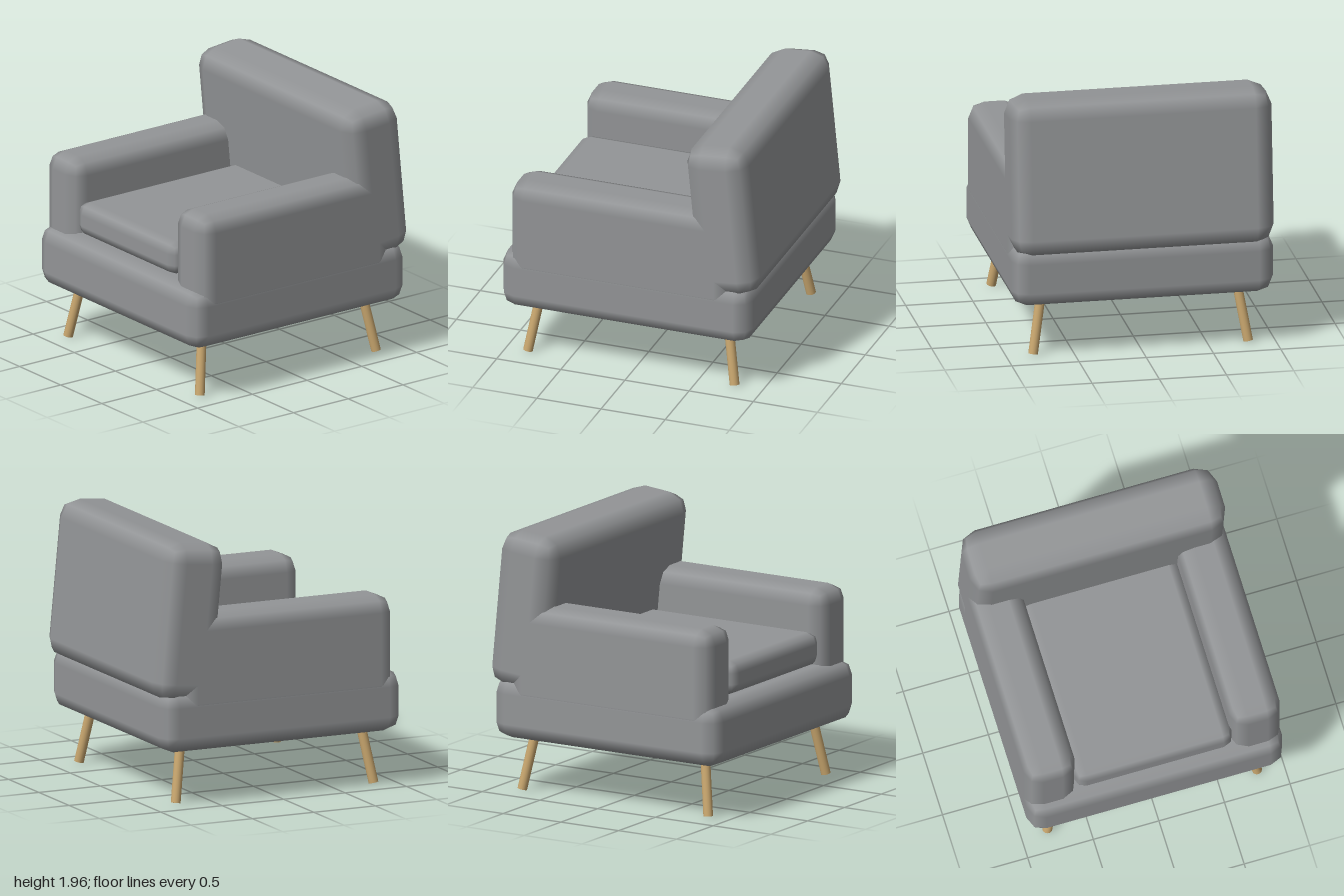
import * as THREE from 'three';

const fabric = new THREE.MeshStandardMaterial({ color: 0x939597 });
fabric.name = 'grey fabric';
const wood = new THREE.MeshStandardMaterial({ color: 0xc8a66e });
wood.name = 'light wood';

// Smooth padded box whose edges are rounded in two steps
function paddedBox(w, h, d, r) {
  const geo = new THREE.BoxGeometry(1, 1, 1, 3, 3, 3);
  const pos = geo.attributes.position;
  const half = new THREE.Vector3(w / 2 - r, h / 2 - r, d / 2 - r);
  const p = new THREE.Vector3();
  const dir = new THREE.Vector3();
  const outer = (v) => (Math.abs(v) > 0.4 ? Math.sign(v) : 0);
  for (let i = 0; i < pos.count; i++) {
    p.fromBufferAttribute(pos, i);
    dir.set(outer(p.x), outer(p.y), outer(p.z)).normalize();
    pos.setXYZ(i,
      Math.sign(p.x) * half.x + dir.x * r,
      Math.sign(p.y) * half.y + dir.y * r,
      Math.sign(p.z) * half.z + dir.z * r);
    geo.attributes.normal.setXYZ(i, dir.x, dir.y, dir.z);
  }
  return geo;
}

export function createModel() {
  const chair = new THREE.Group();
  chair.name = 'armchair';

  // Padded part given by its extents on each axis
  function pad(name, [x0, x1], [y0, y1], [z0, z1], r) {
    const mesh = new THREE.Mesh(paddedBox(x1 - x0, y1 - y0, z1 - z0, r), fabric);
    mesh.position.set((x0 + x1) / 2, (y0 + y1) / 2, (z0 + z1) / 2);
    mesh.name = name;
    chair.add(mesh);
  }

  pad('base', [-0.975, 0.975], [0.405, 0.87], [-0.95, 1], 0.12);
  pad('seatCushion', [-0.605, 0.605], [0.875, 1.13], [-0.62, 0.92], 0.085);
  pad('leftArm', [0.588, 0.975], [0.65, 1.43], [-0.8, 0.93], 0.12);
  pad('rightArm', [-0.975, -0.588], [0.65, 1.43], [-0.8, 0.93], 0.12);

  // Backrest, its top tipped slightly forward
  const back = new THREE.Mesh(paddedBox(1.95, 1.18, 0.485, 0.14), fabric);
  back.position.set(0, 1.367, -0.711);
  back.rotation.x = 0.096;
  back.name = 'backrest';
  chair.add(back);

  // Splayed legs, running up into the base
  for (const sx of [-1, 1]) {
    for (const sz of [-1, 1]) {
      const foot = new THREE.Vector3(sx * 0.8, 0.011, 0.025 + sz * 0.805);
      const top = new THREE.Vector3(sx * 0.725, 0.46, 0.025 + sz * 0.73);
      const axis = top.clone().sub(foot);
      const leg = new THREE.Mesh(new THREE.CylinderGeometry(0.036, 0.036, axis.length(), 16), wood);
      leg.position.copy(foot).add(top).multiplyScalar(0.5);
      leg.quaternion.setFromUnitVectors(new THREE.Vector3(0, 1, 0), axis.normalize());
      leg.name = (sz > 0 ? 'front' : 'back') + (sx > 0 ? 'Left' : 'Right') + 'Leg';
      chair.add(leg);
    }
  }
  return chair;
}
